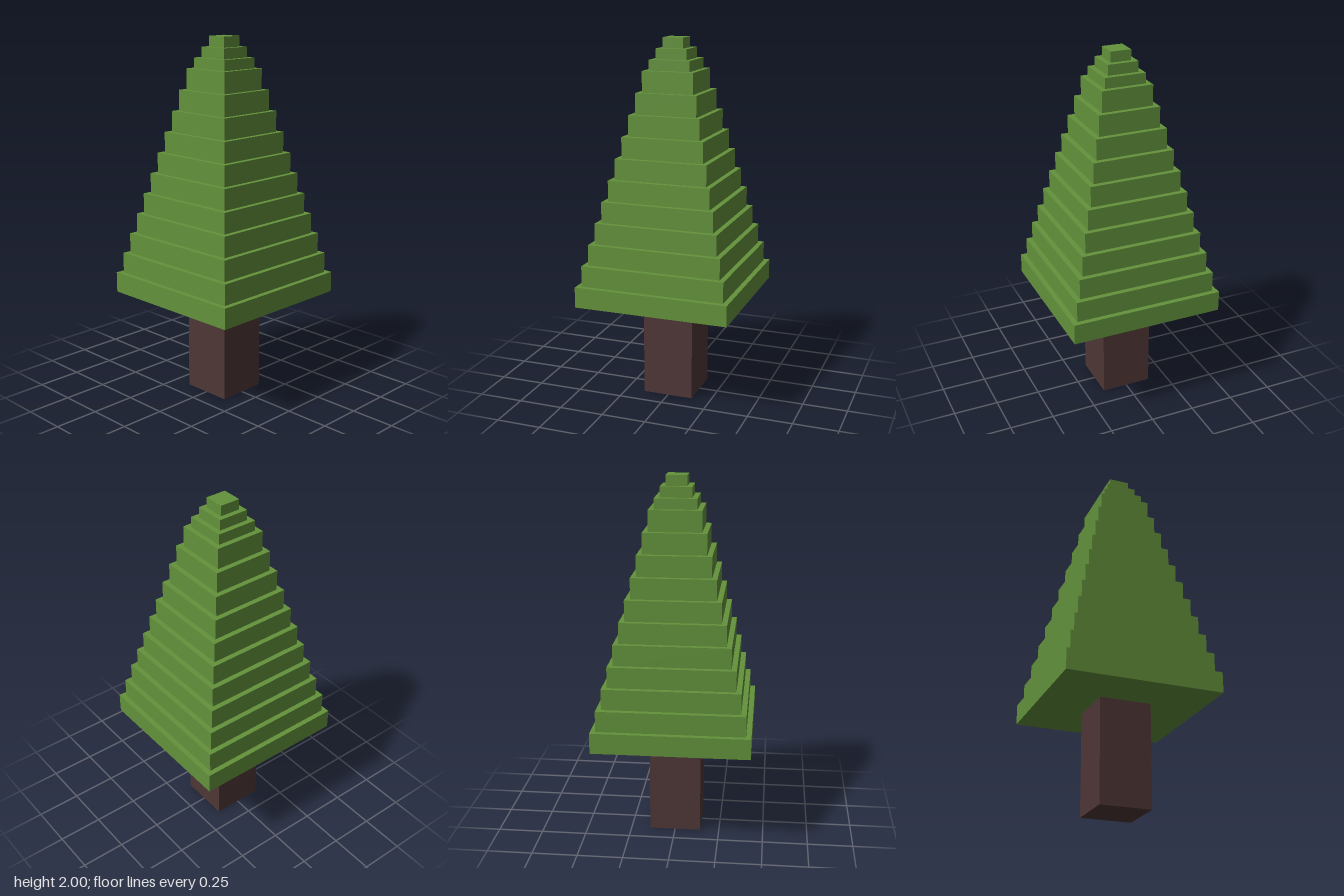
import * as THREE from 'three';

const U = 2 / 35; // one block unit; the tree is 35 blocks tall

export function createModel() {
  const tree = new THREE.Group();
  tree.name = 'tree';

  const bark = new THREE.MeshStandardMaterial({ color: 0x4f3636 });
  bark.name = 'bark brown';
  const leaf = new THREE.MeshStandardMaterial({ color: 0x63923b });
  leaf.name = 'leaf green';

  // Square slab standing on height y, sizes in block units
  function addSlab(parent, name, width, height, y, material) {
    const mesh = new THREE.Mesh(
      new THREE.BoxGeometry(width * U, height * U, width * U), material);
    mesh.name = name;
    mesh.position.y = (y + height / 2) * U;
    parent.add(mesh);
  }

  // Trunk
  addSlab(tree, 'trunk', 5, 10, 0, bark);

  // Foliage: stepped layers, each one block narrower, the last three thin
  const foliage = new THREE.Group();
  foliage.name = 'foliage';
  tree.add(foliage);
  let y = 10;
  for (let width = 15; width >= 2; width--) {
    const height = width > 4 ? 2 : 1;
    addSlab(foliage, `foliageLayer${16 - width}`, width, height, y, leaf);
    y += height;
  }

  return tree;
}
